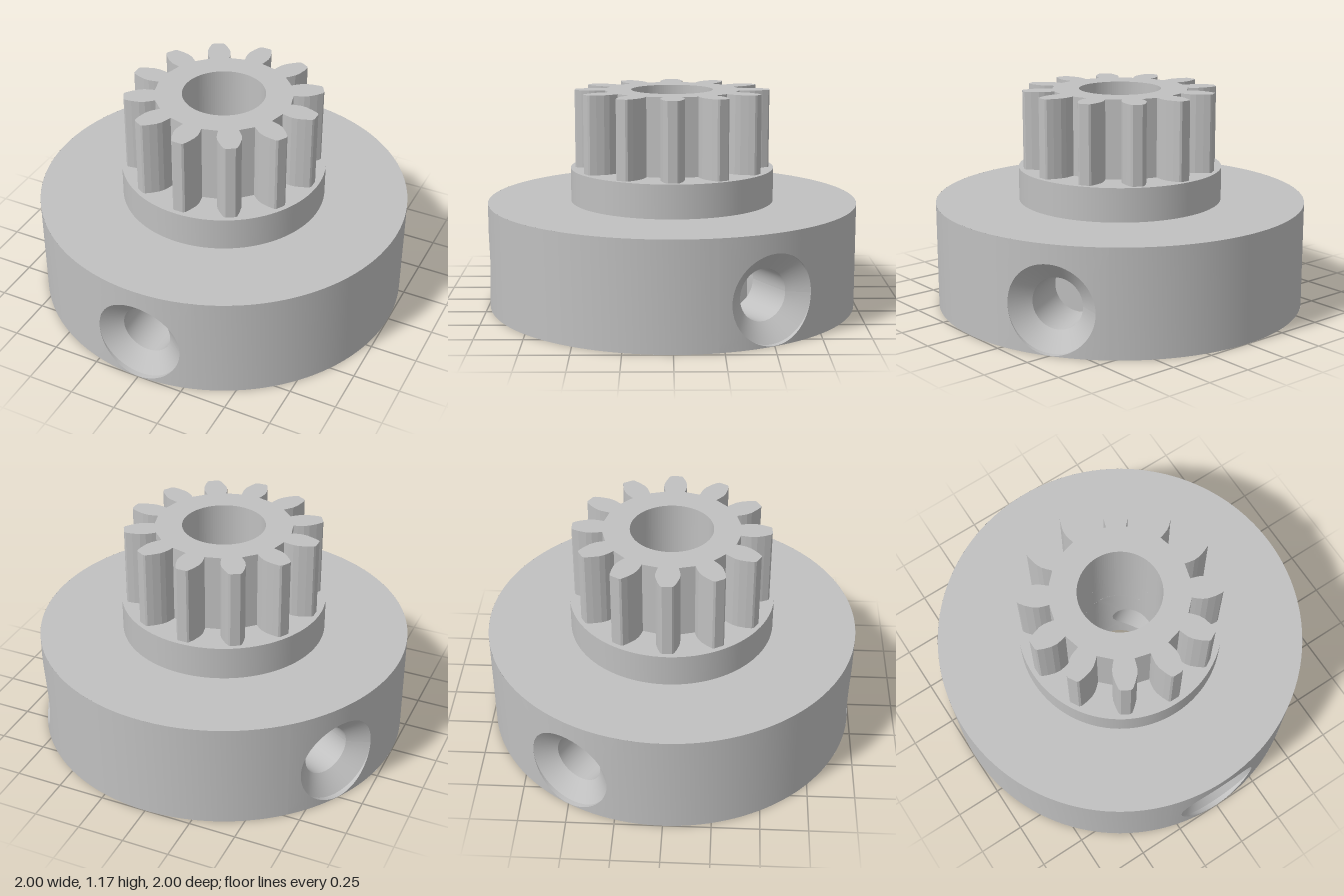
import * as THREE from 'three';

const TAU = Math.PI * 2;
const PLATE_TOP = 0.57, HUB_TOP = 0.75, GEAR_TOP = 1.17;
const BORE = 0.22, HOLE = 0.135, SINK = 0.233, HOLE_Y = 0.235;
const SLOT_IN = 0.33, SLOT_OUT = 0.6, SLOT_HALF = 0.28;

// Surface from a rule f(u, v) -> [x, y, z]; it faces along du x dv
function grid(nu, nv, f) {
  const pos = [], idx = [];
  for (let j = 0; j <= nv; j++)
    for (let i = 0; i <= nu; i++) pos.push(...f(i / nu, j / nv));
  for (let j = 0; j < nv; j++)
    for (let i = 0; i < nu; i++) {
      const a = j * (nu + 1) + i, d = a + nu + 1;
      idx.push(a, a + 1, d, a + 1, d + 1, d);
    }
  const g = new THREE.BufferGeometry();
  g.setAttribute('position', new THREE.Float32BufferAttribute(pos, 3));
  g.setIndex(idx);
  g.computeVertexNormals();
  return g;
}

// Cylinder wall section with a round hole, from y = 0 to the plate top
function piercedWall(R, r, half, facesOut) {
  return grid(64, 10, (u, v) => {
    const t = facesOut ? 1 - v : v;
    const c = Math.cos(u * TAU), s = Math.sin(u * TAU);
    const m = Math.max(Math.abs(c), Math.abs(s));
    const theta = THREE.MathUtils.lerp(Math.asin(r * c / R), half * c / m, t);
    const reach = s > 0 ? PLATE_TOP - HOLE_Y : HOLE_Y;
    const y = HOLE_Y + THREE.MathUtils.lerp(r * s, reach * s / m, t);
    return [R * Math.sin(theta), y, R * Math.cos(theta)];
  });
}

// Inside of a round hole along z; each end is a radius and a depth rule
function holeTube(r0, z0, r1, z1) {
  return grid(64, 1, (u, v) => {
    const r = v ? r1 : r0, x = r * Math.cos(u * TAU);
    return [x, HOLE_Y + r * Math.sin(u * TAU), (v ? z1 : z0)(x)];
  });
}

const onCylinder = R => x => Math.sqrt(R * R - x * x);
const flat = z => () => z;

export function createModel() {
  const model = new THREE.Group();
  model.name = 'pinionGear';
  const steel = new THREE.MeshStandardMaterial({ color: 0xc0c0c0, side: THREE.DoubleSide });
  steel.name = 'plainGrey';

  const add = (parent, name, geometry) => {
    const m = new THREE.Mesh(geometry, steel);
    m.name = name;
    parent.add(m);
    return m;
  };

  // One third of the base: outer wall, bore wall, screw hole and nut slot
  const outline = [[-SLOT_HALF, 0], [-SLOT_HALF, 0.395], [0, 0.556], [SLOT_HALF, 0.395], [SLOT_HALF, 0]];
  const slotEnd = new THREE.Shape(outline.map(p => new THREE.Vector2(...p)));
  slotEnd.holes.push(new THREE.Path().absarc(0, HOLE_Y, HOLE, 0, TAU, true));
  const slotEndGeo = new THREE.ShapeGeometry(slotEnd, 32);

  const slotSides = grid(4, 1, (u, v) => {
    const [x, y] = outline[Math.round(u * 4)];
    return [x, y, v ? SLOT_OUT : SLOT_IN];
  }).toNonIndexed();
  slotSides.computeVertexNormals();

  const patch = 0.3;
  const pieces = {
    outerWallAtHole: piercedWall(1, SINK, patch, true),
    outerWall: grid(32, 1, (u, v) => {
      const a = patch + u * (TAU / 3 - 2 * patch);
      return [Math.sin(a), v * PLATE_TOP, Math.cos(a)];
    }),
    boreWall: piercedWall(BORE, HOLE, Math.PI / 3, false),
    holeRim: holeTube(SINK, onCylinder(1), SINK, flat(0.972)),
    countersink: holeTube(SINK, flat(0.972), HOLE, flat(0.89)),
    outerScrewHole: holeTube(HOLE, flat(0.89), HOLE, flat(SLOT_OUT)),
    innerScrewHole: holeTube(HOLE, flat(SLOT_IN), HOLE, onCylinder(BORE)),
    nutSlotSides: slotSides,
    nutSlotInnerWall: slotEndGeo.clone().translate(0, 0, SLOT_IN),
    nutSlotOuterWall: slotEndGeo.clone().rotateY(Math.PI).translate(0, 0, SLOT_OUT),
  };

  // Underside with the bore and the three nut slots cut out
  const underside = new THREE.Shape().absarc(0, 0, 1, 0, TAU, false);
  underside.holes.push(new THREE.Path().absarc(0, 0, BORE, 0, TAU, true));

  for (let k = 0; k < 3; k++) {
    const angle = k * TAU / 3;
    const sector = new THREE.Group();
    sector.name = 'baseSector' + (k + 1);
    sector.rotation.y = angle;
    for (const [name, geometry] of Object.entries(pieces)) add(sector, name, geometry);
    model.add(sector);

    const c = Math.cos(angle), s = Math.sin(angle);
    const corners = [[-1, SLOT_IN], [-1, SLOT_OUT], [1, SLOT_OUT], [1, SLOT_IN]].map(([e, z]) => {
      const x = e * SLOT_HALF;
      return new THREE.Vector2(x * c + z * s, -x * s + z * c);
    });
    underside.holes.push(new THREE.Path(corners));
  }
  add(model, 'underside', new THREE.ShapeGeometry(underside, 96).rotateX(Math.PI / 2));

  // Flat tops and the stepped hub
  const ring = (name, r0, r1, y) =>
    add(model, name, new THREE.RingGeometry(r0, r1, 96).rotateX(-Math.PI / 2).translate(0, y, 0));
  ring('baseTop', 0.55, 1, PLATE_TOP);
  ring('hubTop', BORE, 0.55, HUB_TOP);
  const tube = (name, r, y0, y1) =>
    add(model, name, new THREE.CylinderGeometry(r, r, y1 - y0, 96, 1, true).translate(0, (y0 + y1) / 2, 0));
  tube('hubWall', 0.55, PLATE_TOP, HUB_TOP);
  tube('hubBore', BORE, PLATE_TOP, HUB_TOP);

  // Twelve-tooth gear: [radius, half width] from root to tip
  const flank = [[0.36, 0.052], [0.385, 0.058], [0.415, 0.063], [0.445, 0.061], [0.485, 0.049], [0.517, 0.035], [0.524, 0.025]];
  const tooth = [
    ...flank.map(([r, w]) => [r, -w]),
    ...flank.slice().reverse(),
  ];
  const points = [];
  for (let k = 0; k < 12; k++) {
    const c = Math.cos(k * TAU / 12), s = Math.sin(k * TAU / 12);
    for (const [r, w] of tooth) points.push(new THREE.Vector2(r * c - w * s, r * s + w * c));
  }
  const gear = new THREE.Shape(points);
  gear.holes.push(new THREE.Path().absarc(0, 0, BORE, 0, TAU, true));
  add(model, 'gearTeeth', new THREE.ExtrudeGeometry(gear, {
    depth: GEAR_TOP - HUB_TOP, bevelEnabled: false, curveSegments: 64,
  }).rotateX(-Math.PI / 2).translate(0, HUB_TOP, 0));

  return model;
}
